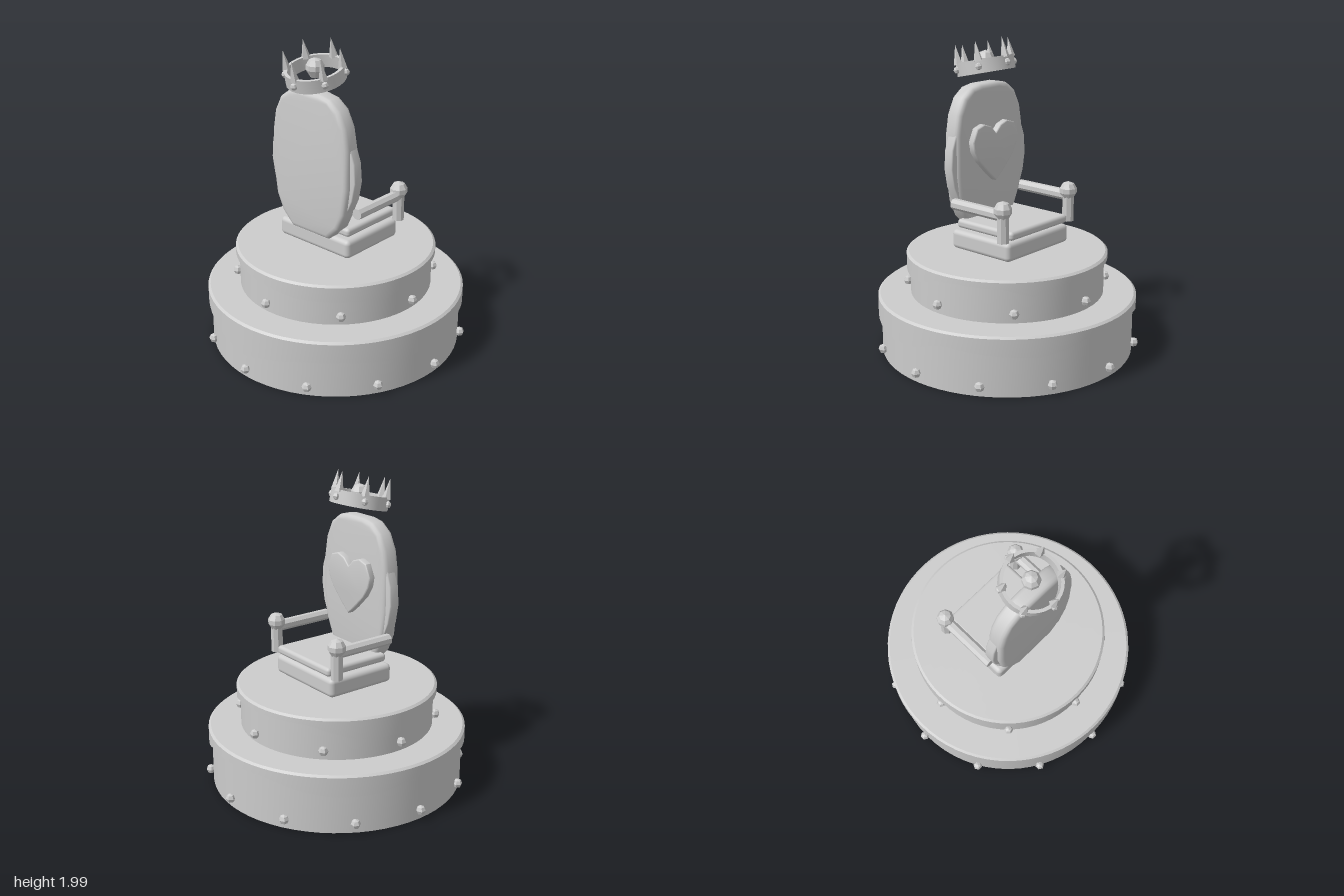
import * as THREE from 'three';
import { toCreasedNormals } from 'three/addons/utils/BufferGeometryUtils.js';
import { RoundedBoxGeometry } from 'three/addons/geometries/RoundedBoxGeometry.js';

const stone = new THREE.MeshStandardMaterial({ color: 0xcccccc, side: THREE.DoubleSide });
stone.name = 'pale grey';

function add(parent, name, geometry, x = 0, y = 0, z = 0) {
  const mesh = new THREE.Mesh(geometry, stone);
  mesh.name = name;
  mesh.position.set(x, y, z);
  parent.add(mesh);
  return mesh;
}
const crease = (g, a = 0.6) => toCreasedNormals(g, a);
const faceted = (g) => crease(g, 0.01);

// Height of the icing hem at an angle, from [degrees, height] stops
function hemAt(stops, deg) {
  const loop = [...stops, [stops[0][0] + 360, stops[0][1]]];
  for (let i = 0; i < loop.length - 1; i++) {
    const [a, ha] = loop[i], [b, hb] = loop[i + 1];
    if (deg >= a && deg <= b) return ha + (hb - ha) * (deg - a) / (b - a);
  }
  return stops[0][1];
}

// Icing cap: wall with a wavy hem, rounded rim and flat top
function icing(radius, inner, top, stops) {
  const n = 72, rows = 5, pos = [], index = [];
  for (let i = 0; i <= n; i++) {
    const deg = -90 + i * 360 / n, a = deg * Math.PI / 180;
    const hem = hemAt(stops, deg);
    const profile = [[inner, hem + 0.01], [radius, hem], [radius, top - 0.012], [radius - 0.015, top], [0, top + 0.003]];
    for (const [r, y] of profile) pos.push(r * Math.sin(a), y, r * Math.cos(a));
  }
  for (let i = 0; i < n; i++) for (let j = 0; j < rows - 1; j++) {
    const a = i * rows + j, b = a + rows;
    index.push(a, b, b + 1, a, b + 1, a + 1);
  }
  const g = new THREE.BufferGeometry();
  g.setAttribute('position', new THREE.Float32BufferAttribute(pos, 3));
  g.setIndex(index);
  return crease(g);
}

// Faceted studs spaced evenly around a tier
function studs(parent, name, count, radius, y, size) {
  for (let i = 0; i < count; i++) {
    const a = i * Math.PI * 2 / count;
    const s = add(parent, name, faceted(new THREE.SphereGeometry(size, 6, 4)), radius * Math.sin(a), y, radius * Math.cos(a));
    s.rotation.y = a;
  }
}

// Faceted knob with a tapered underside
function knob(parent, name, x, y, z) {
  const p = [[0, -0.06], [0.028, -0.06], [0.055, -0.015], [0.055, 0.015], [0.037, 0.046], [0, 0.06]];
  const g = new THREE.LatheGeometry(p.map(([r, h]) => new THREE.Vector2(r, h)), 8);
  add(parent, name, faceted(g), x, y, z);
}

// Bevelled plate standing across z, with its depth along x
function plate(shape, depth, bevel) {
  const g = new THREE.ExtrudeGeometry(shape, {
    depth: depth - 2 * bevel, bevelThickness: bevel, bevelSize: bevel,
    bevelOffset: -bevel, bevelSegments: 3, curveSegments: 8,
  });
  g.translate(0, 0, bevel - depth / 2);
  g.rotateY(Math.PI / 2);
  return crease(g, 0.7);
}

function buildCake(root) {
  const cake = new THREE.Group();
  cake.name = 'tieredBase';
  root.add(cake);
  add(cake, 'lowerTier', crease(new THREE.CylinderGeometry(0.81, 0.81, 0.37, 64)), 0, 0.185);
  add(cake, 'upperTier', crease(new THREE.CylinderGeometry(0.62, 0.62, 0.28, 64)), 0, 0.5);
  add(cake, 'lowerIcing', icing(0.83, 0.805, 0.383, [
    [-90, 0.17], [-62, 0.24], [-46, 0.25], [-16, 0.215], [0, 0.235], [13, 0.295], [33, 0.268],
    [55, 0.25], [67, 0.28], [75, 0.315], [112, 0.32], [127, 0.27], [142, 0.245], [158, 0.25],
    [180, 0.31], [210, 0.3], [240, 0.26],
  ]));
  add(cake, 'upperIcing', icing(0.642, 0.615, 0.655, [
    [-90, 0.58], [-70, 0.55], [-40, 0.545], [-21, 0.53], [0, 0.6], [13, 0.61], [40, 0.6],
    [55, 0.55], [73, 0.6], [96, 0.61], [127, 0.61], [154, 0.52], [180, 0.51], [205, 0.6], [240, 0.6],
  ]));
  studs(cake, 'lowerStud', 12, 0.825, 0.067, 0.031);
  studs(cake, 'upperStud', 8, 0.635, 0.446, 0.031);
}

function buildChair(root) {
  const chair = new THREE.Group();
  chair.name = 'throne';
  root.add(chair);
  add(chair, 'chairFoot', new THREE.CylinderGeometry(0.14, 0.14, 0.025, 24), 0, 0.655);
  add(chair, 'seat', new RoundedBoxGeometry(0.48, 0.122, 0.585, 3, 0.03), 0.028, 0.737);
  add(chair, 'cushion', new RoundedBoxGeometry(0.46, 0.056, 0.54, 3, 0.022), 0.045, 0.838);

  // Tall rounded backrest
  const half = [[0.15, 0.785], [0.235, 0.87], [0.285, 0.98], [0.308, 1.15], [0.308, 1.4], [0.285, 1.53], [0.235, 1.63], [0.16, 1.685], [0.08, 1.7]];
  const outline = [...half, ...half.map(([x, y]) => [-x, y]).reverse()];
  const back = new THREE.Shape(outline.map(([x, y]) => new THREE.Vector2(x, y)));
  add(chair, 'backrest', plate(back, 0.117, 0.03), -0.19);

  // Raised heart
  const heart = new THREE.Shape();
  heart.moveTo(0, 1.08);
  for (const s of [1, -1]) {
    const pts = [[0.06, 1.13], [0.15, 1.22], [0.195, 1.29], [0.208, 1.355], [0.17, 1.435], [0.105, 1.455], [0.045, 1.435], [0, 1.39]];
    if (s < 0) pts.reverse().push([0, 1.08]);
    for (const [x, y] of pts) heart.lineTo(s * x, y);
  }
  add(chair, 'heart', plate(heart, 0.055, 0.008), -0.117);

  for (const s of [1, -1]) {
    // Curved wing on the side of the back
    const wing = new THREE.Shape([[0.28, 0.98], [0.325, 1.08], [0.347, 1.2], [0.337, 1.32], [0.3, 1.42], [0.28, 1.42]]
      .map(([x, y]) => new THREE.Vector2(s * x, y)));
    add(chair, 'backWing', plate(wing, 0.07, 0.01), -0.18);
    // Armrest: eight-sided rail, post and knob
    const rail = new THREE.CylinderGeometry(0.036, 0.036, 0.4, 8);
    rail.rotateY(Math.PI / 8);
    rail.rotateZ(Math.PI / 2);
    add(chair, 'armRail', faceted(rail), 0.04, 0.978, s * 0.315);
    const post = new THREE.CylinderGeometry(0.038, 0.038, 0.19, 8);
    post.rotateY(Math.PI / 8);
    add(chair, 'armPost', faceted(post), 0.243, 0.905, s * 0.315);
    knob(chair, 'armKnob', 0.243, 1.01, s * 0.315);
  }
}

function buildCrown(root) {
  knob(root, 'finial', -0.18, 1.84, 0);
  const crown = new THREE.Group();
  crown.name = 'crown';
  crown.position.set(-0.178, 1.802, 0);
  crown.rotation.z = 0.22;
  root.add(crown);
  // Hollow band
  const band = [[0.163, -0.042], [0.183, -0.042], [0.183, 0.042], [0.163, 0.042], [0.163, -0.042]];
  add(crown, 'crownBand', crease(new THREE.LatheGeometry(band.map(([r, y]) => new THREE.Vector2(r, y)), 32)));
  studs(crown, 'crownGem', 0, 0, 0, 0.02);
  for (let i = 0; i < 6; i++) {
    const a = i * Math.PI / 3, c = Math.cos(a), s = Math.sin(a);
    const spike = add(crown, 'crownSpike', faceted(new THREE.ConeGeometry(0.029, 0.125, 5)), 0.172 * c, 0.094, 0.172 * s);
    spike.rotation.y = -a;
    const gem = add(crown, 'crownGem', faceted(new THREE.SphereGeometry(0.023, 6, 4)), 0.186 * c, 0, 0.186 * s);
    gem.rotation.y = -a;
  }
}

export function createModel() {
  const root = new THREE.Group();
  root.name = 'cakeThrone';
  buildCake(root);
  buildChair(root);
  buildCrown(root);
  return root;
}
